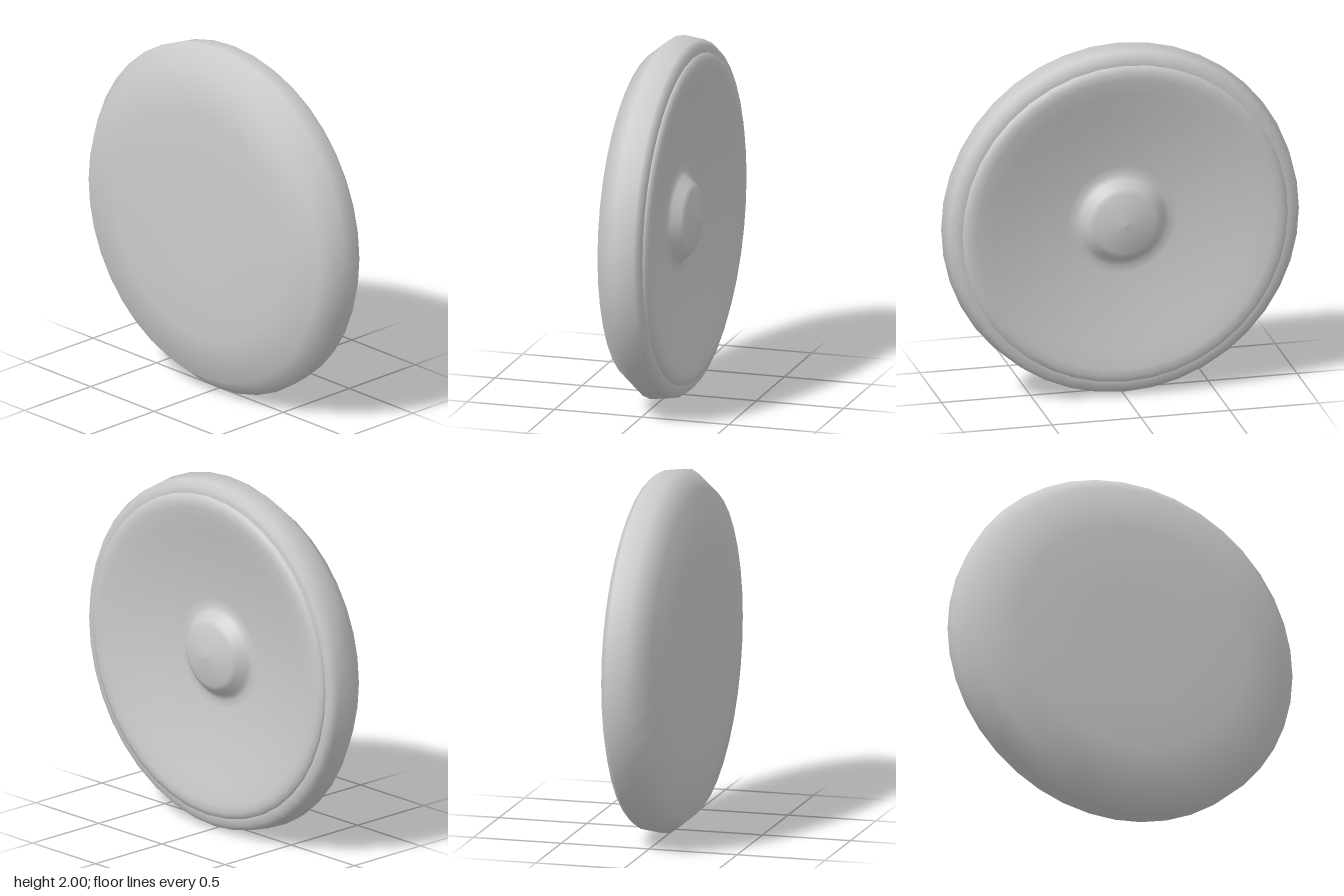
import * as THREE from 'three';

const SIDES = 40;
const material = new THREE.MeshStandardMaterial({ color: 0xcccccc });

// Turns a [radius, z] profile, listed from back to front, around the z axis
function turned(name, profile) {
  const points = profile.map(([r, z]) => new THREE.Vector2(r, z));
  const geometry = new THREE.LatheGeometry(points, SIDES);
  geometry.rotateX(Math.PI / 2);
  const mesh = new THREE.Mesh(geometry, material);
  mesh.name = name;
  mesh.position.y = 1;
  return mesh;
}

export function createModel() {
  const group = new THREE.Group();
  group.name = 'disc';

  // Rounded rim and gently domed front face
  group.add(turned('frontShell', [
    [0.915, -0.137], [0.957, -0.137], [0.985, -0.105], [1, 0.01],
    [0.905, 0.125], [0.66, 0.163], [0.33, 0.165], [0, 0.165],
  ]));

  // Hollowed back with a raised lip and a domed central hub
  group.add(turned('backDish', [
    [0, -0.17], [0.08, -0.161], [0.17, -0.143], [0.2, -0.125],
    [0.235, -0.08], [0.265, -0.065], [0.31, -0.066],
    [0.45, -0.085], [0.6, -0.112], [0.75, -0.145],
    [0.84, -0.164], [0.88, -0.163], [0.91, -0.154], [0.915, -0.137],
  ]));

  return group;
}
